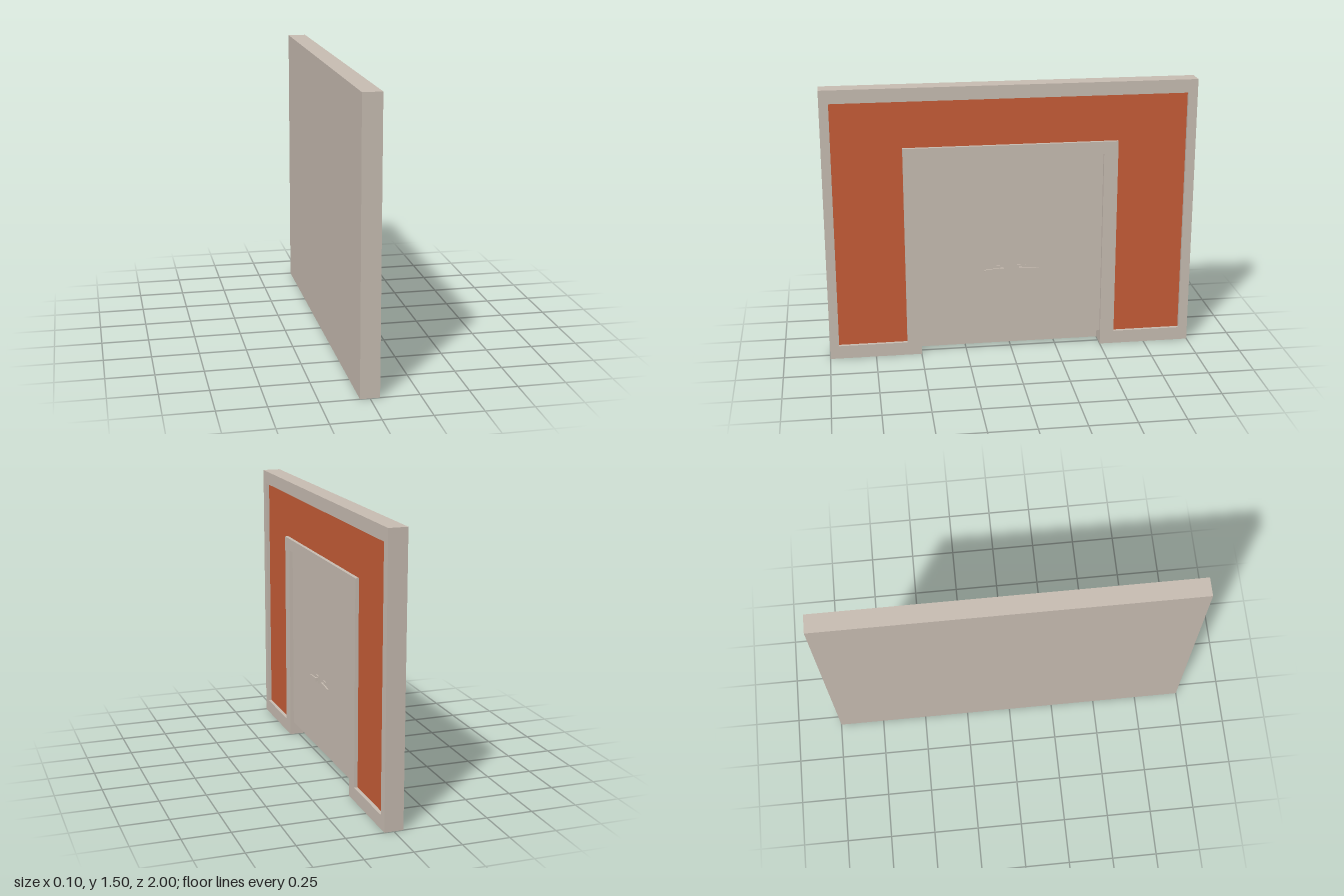
import * as THREE from 'three';

const stone = new THREE.MeshStandardMaterial({ color: 0xcabfb4, side: THREE.DoubleSide });
stone.name = 'beige';
const accent = new THREE.MeshStandardMaterial({ color: 0xc95e38 });
accent.name = 'orange';

const outline = (pts) => pts.map(([u, y]) => new THREE.Vector2(u, y));

// arch outline: outer half width and top, inner half width and top, bottom
const arch = (ow, ot, iw, it, b) => outline([
  [-ow, b], [-iw, b], [-iw, it], [iw, it], [iw, b], [ow, b], [ow, ot], [-ow, ot],
]);

// extrudes a width/height outline along x, from x0 to x1
function slab(name, pts, x0, x1, material, hole) {
  const shape = new THREE.Shape(pts);
  if (hole) shape.holes.push(new THREE.Path(hole));
  const geo = new THREE.ExtrudeGeometry(shape, { depth: x1 - x0, bevelEnabled: false });
  geo.rotateY(Math.PI / 2).translate(x0, 0, 0);
  const mesh = new THREE.Mesh(geo, material);
  mesh.name = name;
  return mesh;
}

// flat sheet facing +x, spanning y0 to y1
function sheet(name, width, y0, y1, x) {
  const geo = new THREE.PlaneGeometry(width, y1 - y0);
  geo.rotateY(Math.PI / 2).translate(x, (y0 + y1) / 2, 0);
  const mesh = new THREE.Mesh(geo, stone);
  mesh.name = name;
  return mesh;
}

// lever handle; s picks the side of the door centre
function handle(s) {
  const g = new THREE.Group();
  g.name = s > 0 ? 'rearHandle' : 'frontHandle';
  const part = (name, pts, x0, x1) =>
    g.add(slab(name, outline(pts.map(([u, y]) => [u * s, y])), x0, x1, stone));
  part('handlePlate', [[0.033, 0.45], [0.08, 0.45], [0.08, 0.491], [0.033, 0.491]], 0.03, 0.034);
  part('handlePost', [[0.042, 0.462], [0.06, 0.462], [0.06, 0.48], [0.042, 0.48]], 0.034, 0.042);
  part('handleLever', [[0.042, 0.462], [0.08, 0.462], [0.15, 0.466], [0.15, 0.473], [0.11, 0.478], [0.042, 0.48]], 0.041, 0.048);
  return g;
}

export function createModel() {
  const model = new THREE.Group();
  model.name = 'doorWall';
  const outer = arch(1, 1.5, 0.5, 1.108, 0);
  const recess = arch(0.95, 1.428, 0.577, 1.175, 0.073);

  // wall body, raised frame and the coloured inset
  model.add(slab('wallBody', outer, -0.05, 0.03, stone));
  model.add(slab('raisedFrame', outer, 0.03, 0.05, stone, recess));
  model.add(slab('insetPanel', recess, 0.03, 0.031, accent));

  // door leaf and the wall behind it
  model.add(sheet('door', 1, 0.073, 1.108, 0.03));
  model.add(sheet('backWall', 1, 0, 1.108, -0.05));

  for (const s of [-1, 1]) model.add(handle(s));
  return model;
}
